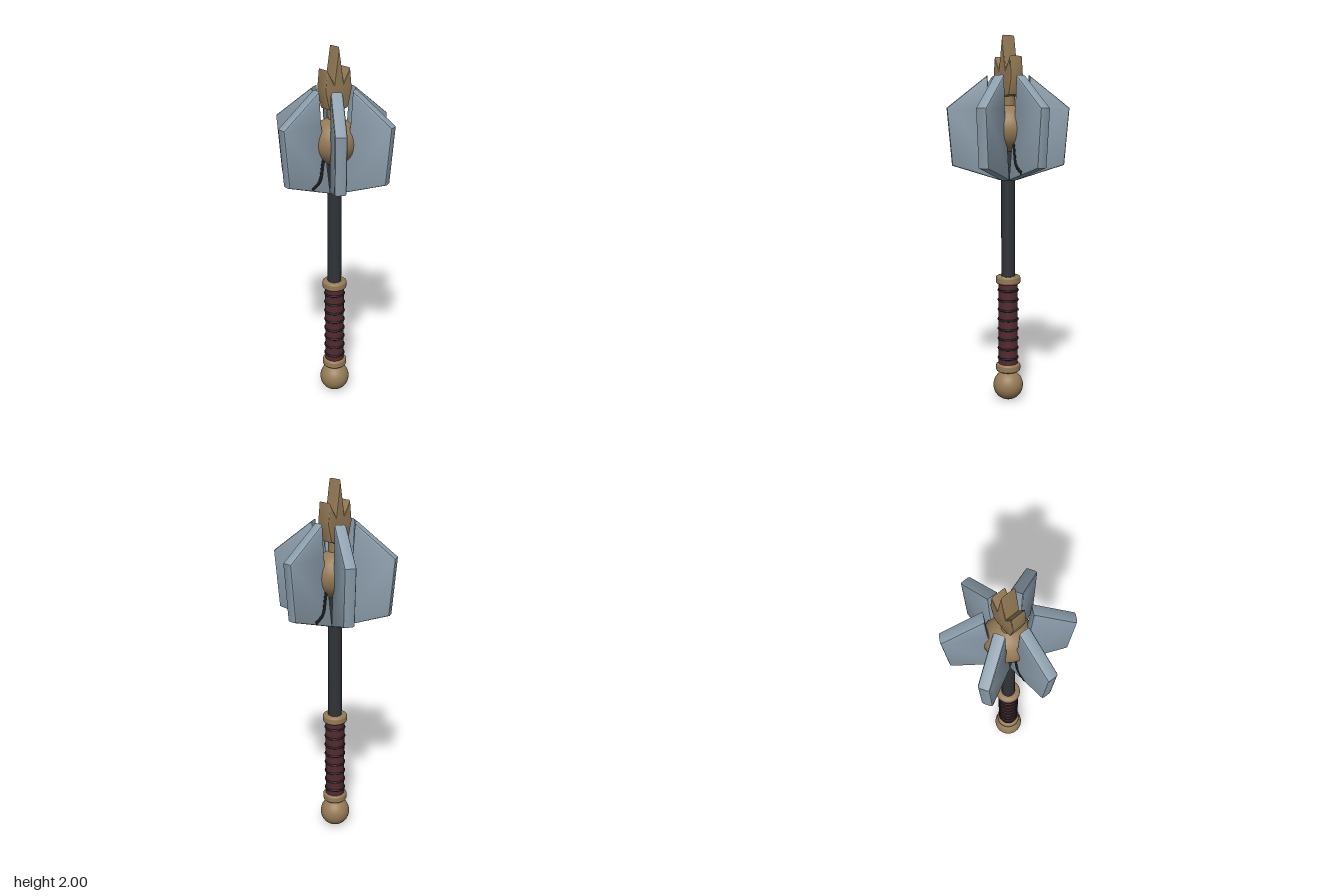
import * as THREE from 'three';
import { toCreasedNormals } from 'three/addons/utils/BufferGeometryUtils.js';

const mat = (color) => new THREE.MeshStandardMaterial({ color });
const steel = mat(0x8c9eac), brass = mat(0x957b56), iron = mat(0x303338);
const leather = mat(0x542a30), cord = mat(0x1c1d21);
const v2 = (p) => new THREE.Vector2(p[0], p[1]);

// Flat outline in x/y, bevelled inside its own contour and centred on z
function plate(points, thickness, bevel) {
  const geometry = new THREE.ExtrudeGeometry(new THREE.Shape(points.map(v2)), {
    depth: thickness - 2 * bevel, bevelThickness: bevel, bevelSize: bevel,
    bevelOffset: -bevel, bevelSegments: 2,
  });
  geometry.translate(0, 0, bevel - thickness / 2);
  return toCreasedNormals(geometry, 0.6);
}

export function createModel() {
  const model = new THREE.Group();
  model.name = 'mace';
  const add = (name, geometry, material, y = 0) => {
    const mesh = new THREE.Mesh(geometry, material);
    mesh.name = name;
    mesh.position.y = y;
    model.add(mesh);
    return mesh;
  };

  // Handle
  add('pommel', new THREE.SphereGeometry(0.083, 32, 20), brass, 0.083);
  add('shaft', new THREE.CylinderGeometry(0.038, 0.038, 1.3, 24), iron, 0.8);
  add('grip', new THREE.CylinderGeometry(0.053, 0.053, 0.47, 24), leather, 0.435);
  for (let i = 0; i < 8; i++) {
    const ring = add('gripRing', new THREE.TorusGeometry(0.053, 0.006, 8, 28), cord, 0.242 + i * 0.055);
    ring.rotation.x = Math.PI / 2;
  }

  // Rounded collars at both ends of the grip
  const collarProfile = [[0.03, -0.022], [0.06, -0.022], [0.066, -0.017], [0.068, -0.01],
    [0.068, 0.01], [0.066, 0.017], [0.06, 0.022], [0.03, 0.022]].map(v2);
  for (const y of [0.187, 0.685]) {
    add('collar', toCreasedNormals(new THREE.LatheGeometry(collarProfile, 28), 0.8), brass, y);
  }

  // Head core and neck
  add('headBall', new THREE.SphereGeometry(0.127, 24, 16), brass, 1.51);
  add('neck', new THREE.CylinderGeometry(0.036, 0.034, 0.16, 20), brass, 1.66);

  // Three-pointed finial
  const half = [[0.03, 1.82], [0.07, 1.89], [0.083, 1.785], [0.06, 1.69], [0.028, 1.68]];
  const outline = [[0, 2], ...half, ...half.map(([x, y]) => [-x, y]).reverse()];
  add('finial', plate(outline.reverse(), 0.08, 0.008), brass);

  // Six flanges around the head
  const flange = plate([[0.045, 1.235], [0.302, 1.315], [0.328, 1.62], [0.112, 1.79],
    [0.1, 1.62], [0.065, 1.4]], 0.062, 0.012);
  for (let i = 0; i < 6; i++) {
    add('flange', flange, steel).rotation.y = i * Math.PI / 3;
  }

  // Curved iron brackets set into the two side flanges
  const path = new THREE.CatmullRomCurve3([[0.085, 1.47], [0.098, 1.4], [0.115, 1.32], [0.165, 1.282]]
    .map(([x, y]) => new THREE.Vector3(x, y, 0))).getPoints(12);
  const offset = (side) => path.map((p, i) => {
    const a = path[Math.max(i - 1, 0)], b = path[Math.min(i + 1, path.length - 1)];
    const t = b.clone().sub(a).normalize();
    return [p.x - t.y * side, p.y + t.x * side];
  });
  const bracket = plate([...offset(-0.011), ...offset(0.011).reverse()], 0.066, 0.003);
  for (const turn of [0, Math.PI]) {
    add('bracket', bracket, cord).rotation.y = turn;
  }

  return model;
}
